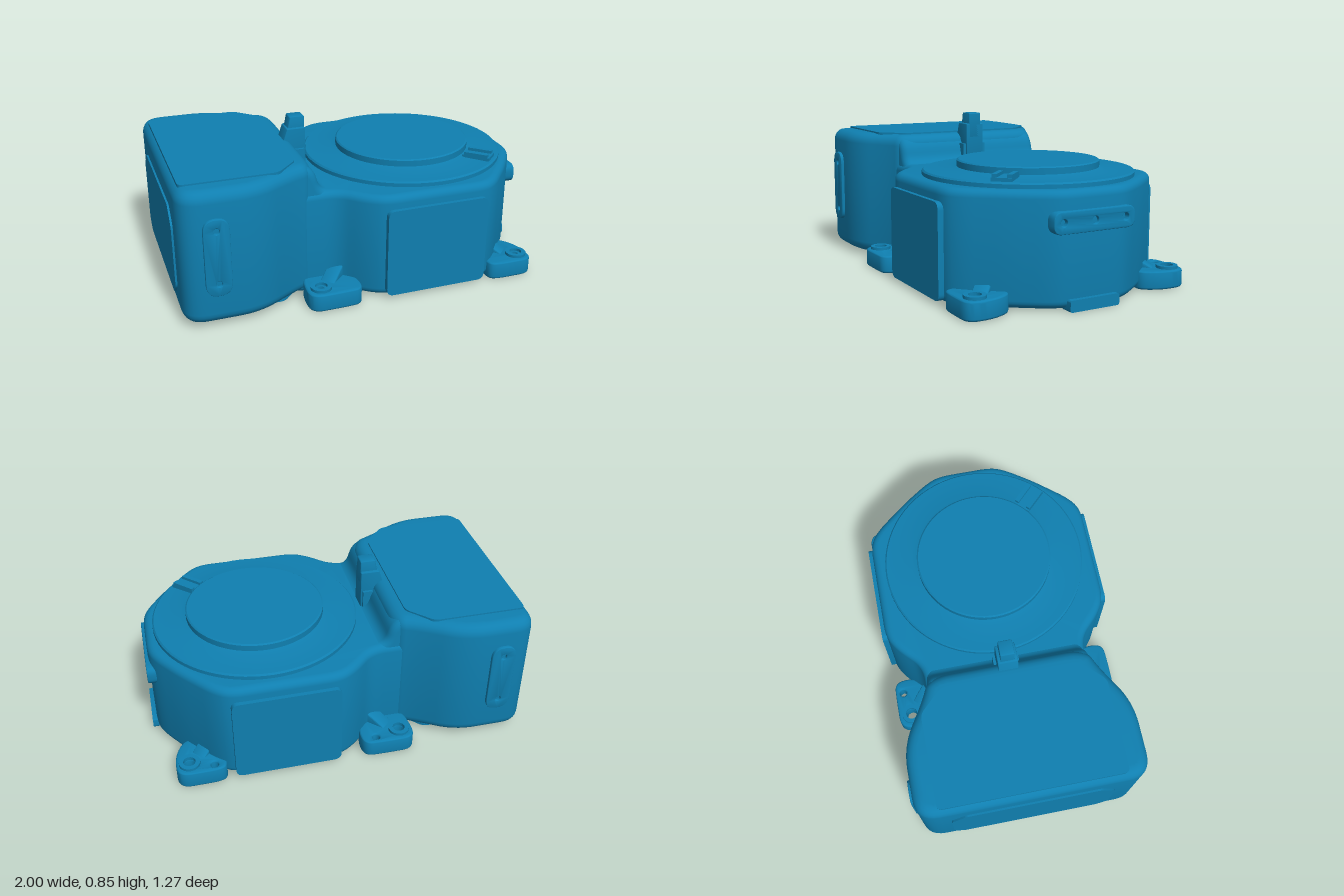
import * as THREE from 'three';
import { toCreasedNormals } from 'three/addons/utils/BufferGeometryUtils.js';

const material = new THREE.MeshStandardMaterial({ color: 0x0f7fb0 });

// closed shape from corner points, each corner rounded by up to r
function roundedShape(pts, r, holes = []) {
  const v = pts.map(([x, y]) => new THREE.Vector2(x, y));
  const shape = new THREE.Shape();
  v.forEach((p, i) => {
    const toward = (q) => {
      const d = q.clone().sub(p);
      return p.clone().addScaledVector(d.normalize(), Math.min(r, p.distanceTo(q) * 0.48));
    };
    const a = toward(v[(i + v.length - 1) % v.length]);
    const b = toward(v[(i + 1) % v.length]);
    if (i === 0) shape.moveTo(a.x, a.y);
    else shape.lineTo(a.x, a.y);
    shape.quadraticCurveTo(p.x, p.y, b.x, b.y);
  });
  shape.closePath();
  for (const [x, y, hr] of holes) {
    const hole = new THREE.Path();
    hole.absarc(x, y, hr, 0, Math.PI * 2, true);
    shape.holes.push(hole);
  }
  return shape;
}

// extrusion from 0 to depth along z, with its bevel kept inside the outline
function solid(shape, depth, bevel) {
  const geo = new THREE.ExtrudeGeometry(shape, {
    depth: depth - 2 * bevel, curveSegments: 8, bevelEnabled: bevel > 0,
    bevelSize: bevel, bevelThickness: bevel, bevelOffset: -bevel, bevelSegments: 5,
  });
  return geo.translate(0, 0, bevel);
}

export function createModel() {
  const model = new THREE.Group();
  model.name = 'housing';

  const add = (name, geo, crease = 0.6) => {
    const mesh = new THREE.Mesh(toCreasedNormals(geo, crease), material);
    mesh.name = name;
    model.add(mesh);
    return mesh;
  };
  // upright slab with an outline in (x, z)
  const slab = (name, pts, r, y0, y1, bevel = 0, holes = []) =>
    add(name, solid(roundedShape(pts, r, holes), y1 - y0, bevel).rotateX(Math.PI / 2).translate(0, y1, 0));
  // plate facing z, outline in (x, y)
  const plateZ = (name, pts, r, z0, z1, bevel = 0, holes = []) =>
    add(name, solid(roundedShape(pts, r, holes), z1 - z0, bevel).translate(0, 0, z0));
  // plate facing x, outline in (-z, y)
  const plateX = (name, pts, r, x0, x1, bevel = 0, holes = []) =>
    add(name, solid(roundedShape(pts, r, holes), x1 - x0, bevel).rotateY(Math.PI / 2).translate(x0, 0, 0));
  const rect = (a, b, c, d) => [[a, b], [c, b], [c, d], [a, d]];
  // mirrors half an outline across z = 0
  const mirrored = (half) => [...half, ...half.map(([x, z]) => [x, -z]).reverse()];

  // tall box at one end
  slab('tallBox', mirrored([[-0.99, 0.6], [-0.6, 0.6], [-0.39, 0.47], [-0.27, 0.42]]), 0.12, 0.02, 0.725, 0.06);
  const chamfered = mirrored([[-0.96, 0.485], [-0.47, 0.485], [-0.35, 0.36]]);
  slab('boxTopPlate', chamfered, 0.03, 0.7, 0.733);
  slab('boxBottomPlate', chamfered.map(([x, z]) => [x * 0.97, z]), 0.03, 0.012, 0.05);
  plateX('boxEndPlate', [[-0.43, 0.17], [-0.37, 0.11], [0.37, 0.11], [0.43, 0.17],
    [0.43, 0.5], [0.35, 0.585], [-0.35, 0.585], [-0.43, 0.5]], 0.02, -1, -0.96);

  // saddle curving from the tall box down to the round body
  const saddle = new THREE.Shape();
  saddle.moveTo(-0.5, 0.04);
  saddle.lineTo(-0.02, 0.04);
  saddle.lineTo(-0.02, 0.565);
  saddle.lineTo(-0.17, 0.565);
  saddle.quadraticCurveTo(-0.235, 0.565, -0.25, 0.63);
  saddle.quadraticCurveTo(-0.27, 0.72, -0.37, 0.72);
  saddle.lineTo(-0.5, 0.72);
  saddle.closePath();
  add('saddle', solid(saddle, 0.86, 0.04).translate(0, 0, -0.43));

  // low body carrying the lid
  slab('lowBody', mirrored([[-0.4, 0.44], [-0.16, 0.44], [-0.04, 0.56], [0.05, 0.61], [0.61, 0.61],
    [0.69, 0.56], [0.84, 0.38], [0.945, 0.23], [0.975, 0.15]]), 0.07, 0.01, 0.57, 0.04);

  // stepped round lid
  const lidProfile = [[0, 0.54], [0.55, 0.54], [0.55, 0.59], [0.542, 0.598], [0.4, 0.602],
    [0.37, 0.61], [0.37, 0.642], [0.362, 0.648], [0, 0.648]].map(([x, y]) => new THREE.Vector2(x, y));
  add('lid', new THREE.LatheGeometry(lidProfile, 72).translate(0.38, 0, 0), 0.5);

  // small raised key on the lid rim, with a slot between its two rails
  const key = (name, w, h, len, side) =>
    add(name, new THREE.BoxGeometry(len, h, w).translate(0.455, 0.58 + h / 2, side)
      .rotateY(-Math.PI / 4).translate(0.38, 0, 0));
  key('keyBase', 0.1, 0.036, 0.15, 0);
  for (const s of [-1, 1]) key('keyRail', 0.025, 0.052, 0.13, s * 0.0375);

  // upright connector on the saddle
  plateZ('connectorBase', [[-0.36, 0.62], [-0.2, 0.54], [-0.2, 0.785], [-0.3, 0.785], [-0.325, 0.71]],
    0.008, -0.053, 0.053, 0.005);
  plateZ('connectorTop', [[-0.31, 0.7], [-0.2, 0.7], [-0.2, 0.845], [-0.28, 0.845]], 0.008, -0.037, 0.037, 0.004);
  for (const s of [-1, 1])
    add('connectorRib', new THREE.BoxGeometry(0.08, 0.12, 0.02).translate(-0.25, 0.61, s * 0.058));

  // side panels and fastening strips
  for (const s of [-1, 1]) {
    const between = (a, b) => (s > 0 ? [a, b] : [-b, -a]);
    plateZ('sidePanel', rect(0.05, 0.02, 0.61, 0.5), 0.04, ...between(0.58, 0.632));
    plateZ('sideStrip', rect(-0.88, 0.185, -0.75, 0.592), 0.065, ...between(0.57, 0.617), 0.004,
      [[-0.815, 0.25, 0.016], [-0.815, 0.53, 0.016]]);
  }

  // end strip and foot tab
  plateX('endStrip', rect(-0.235, 0.37, 0.225, 0.477), 0.045, 0.91, 0.992, 0.006,
    [[-0.18, 0.424, 0.018], [-0.005, 0.424, 0.018], [0.17, 0.424, 0.018]]);
  plateX('endTab', [[-0.145, 0], [0.135, 0], [0.135, 0.058], [-0.145, 0.058]], 0.012, 0.93, 1);

  // four mounting feet with bosses and gussets
  const innerFoot = [[-0.36, 0.635], [-0.18, 0.635], [-0.075, 0.63], [-0.07, 0.5], [-0.15, 0.4], [-0.33, 0.4], [-0.36, 0.49]];
  const outerFoot = [[0.645, 0.6], [0.68, 0.635], [0.91, 0.635], [0.91, 0.48], [0.84, 0.36], [0.66, 0.45]];
  const feet = [
    { name: 'innerFoot', pts: innerFoot, x: -0.285, extra: -0.15, dir: 1 },
    { name: 'outerFoot', pts: outerFoot, x: 0.84, extra: 0.715, dir: -1 },
  ];
  for (const s of [-1, 1]) {
    for (const { name, pts, x, extra, dir } of feet) {
      const holes = [[x, s * 0.56, 0.03]];
      if (s < 0) holes.push([extra, -0.59, 0.02]);
      slab(name, pts.map(([a, b]) => [a, s * b]), 0.07, 0, 0.095, 0.012, holes);
      const ring = [[0.032, 0.06], [0.055, 0.06], [0.055, 0.11], [0.032, 0.11], [0.032, 0.06]]
        .map(([a, b]) => new THREE.Vector2(a, b));
      add('footBoss', new THREE.LatheGeometry(ring, 32).translate(x, 0, s * 0.56));
      const gusset = add('footGusset', solid(roundedShape(
        [[0.06, 0.05], [0.24, 0.05], [0.24, 0.22], [0.17, 0.15], [0.06, 0.09]], 0.02), 0.08, 0.008).translate(0, 0, -0.04));
      gusset.position.set(x, 0, s * 0.56);
      gusset.rotation.y = dir > 0 ? s * Math.PI / 4 : s * Math.PI * 3 / 4;
    }
  }

  return model;
}
